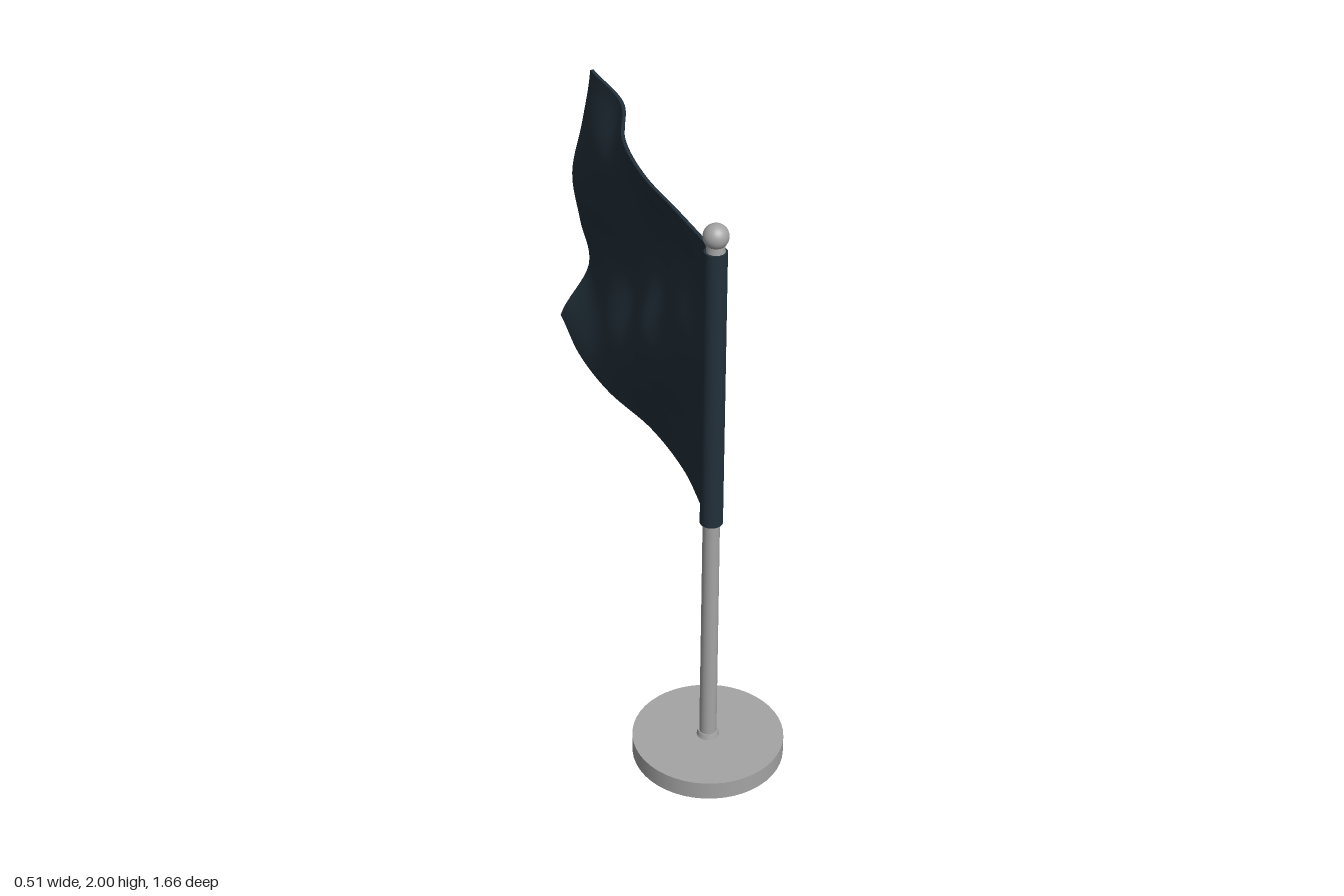
import * as THREE from 'three';

const POLE_Z = 0.58;

// Sideways offset of the cloth: one row per column from pole to free end, values from top to bottom
const FOLDS = [
  [0, 0, 0, 0, 0, 0],
  [-0.015, 0.025, -0.02, -0.03, 0, 0.02],
  [-0.03, 0.03, 0.045, -0.04, -0.04, 0],
  [-0.005, 0.025, 0.045, 0.04, -0.04, -0.06],
  [0.08, 0.005, 0.01, 0.035, 0, -0.08],
  [0.062, 0.03, -0.01, 0.015, 0.045, -0.065],
];

// Smooth curve through evenly spaced values, t from 0 to 1
function spline(values, t) {
  const last = values.length - 1;
  const i = Math.min(Math.floor(t * last), last - 1);
  const f = t * last - i;
  const a = values[Math.max(i - 1, 0)], b = values[i];
  const c = values[i + 1], d = values[Math.min(i + 2, last)];
  return b + 0.5 * f * (c - a + f * (2 * a - 5 * b + 4 * c - d + f * (3 * (b - c) + d - a)));
}

// Thin sheet bent into diagonal folds
function clothGeometry() {
  const geometry = new THREE.BoxGeometry(0.012, 1, 1, 1, 40, 56);
  const p = geometry.attributes.position;
  for (let i = 0; i < p.count; i++) {
    const u = THREE.MathUtils.clamp(0.5 - p.getZ(i), 0, 1);
    const v = THREE.MathUtils.clamp(0.5 - p.getY(i), 0, 1);
    const top = spline([1.9, 1.895, 1.885, 1.878, 1.872, 1.875], u);
    const bottom = spline([0.935, 0.935, 0.933, 0.925, 0.92, 0.925], u);
    const offset = spline(FOLDS.map((column) => spline(column, v)), u);
    p.setXYZ(i, p.getX(i) + offset, THREE.MathUtils.lerp(top, bottom, v), THREE.MathUtils.lerp(0.56, -0.83, u));
  }
  geometry.computeVertexNormals();
  return geometry;
}

export function createModel() {
  const group = new THREE.Group();
  const metal = new THREE.MeshStandardMaterial({ color: 0xa4a4a4 });
  metal.name = 'grey metal';
  const fabric = new THREE.MeshStandardMaterial({ color: 0x22303a });
  fabric.name = 'dark navy fabric';

  function add(name, geometry, material, y = 0, z = POLE_Z) {
    const mesh = new THREE.Mesh(geometry, material);
    mesh.name = name;
    mesh.position.set(0, y, z);
    group.add(mesh);
    return mesh;
  }
  const cylinder = (topRadius, bottomRadius, height) =>
    new THREE.CylinderGeometry(topRadius, bottomRadius, height, 48);

  // Stand
  add('base', cylinder(0.254, 0.254, 0.065), metal, 0.0325);
  add('poleCollar', cylinder(0.033, 0.038, 0.02), metal, 0.073);
  add('pole', cylinder(0.026, 0.029, 1.86), metal, 0.99);

  // Finial
  add('finialNeck', cylinder(0.027, 0.03, 0.035), metal, 1.922);
  add('finialBall', new THREE.SphereGeometry(0.04, 32, 20), metal, 1.96);

  // Flag with the sleeve that wraps the pole
  add('flagSleeve', cylinder(0.036, 0.037, 0.975), fabric, 1.4225);
  add('flagSeam', new THREE.BoxGeometry(0.03, 0.965, 0.035), fabric, 1.42, 0.54);
  add('flagCloth', clothGeometry(), fabric, 0, 0);

  return group;
}
